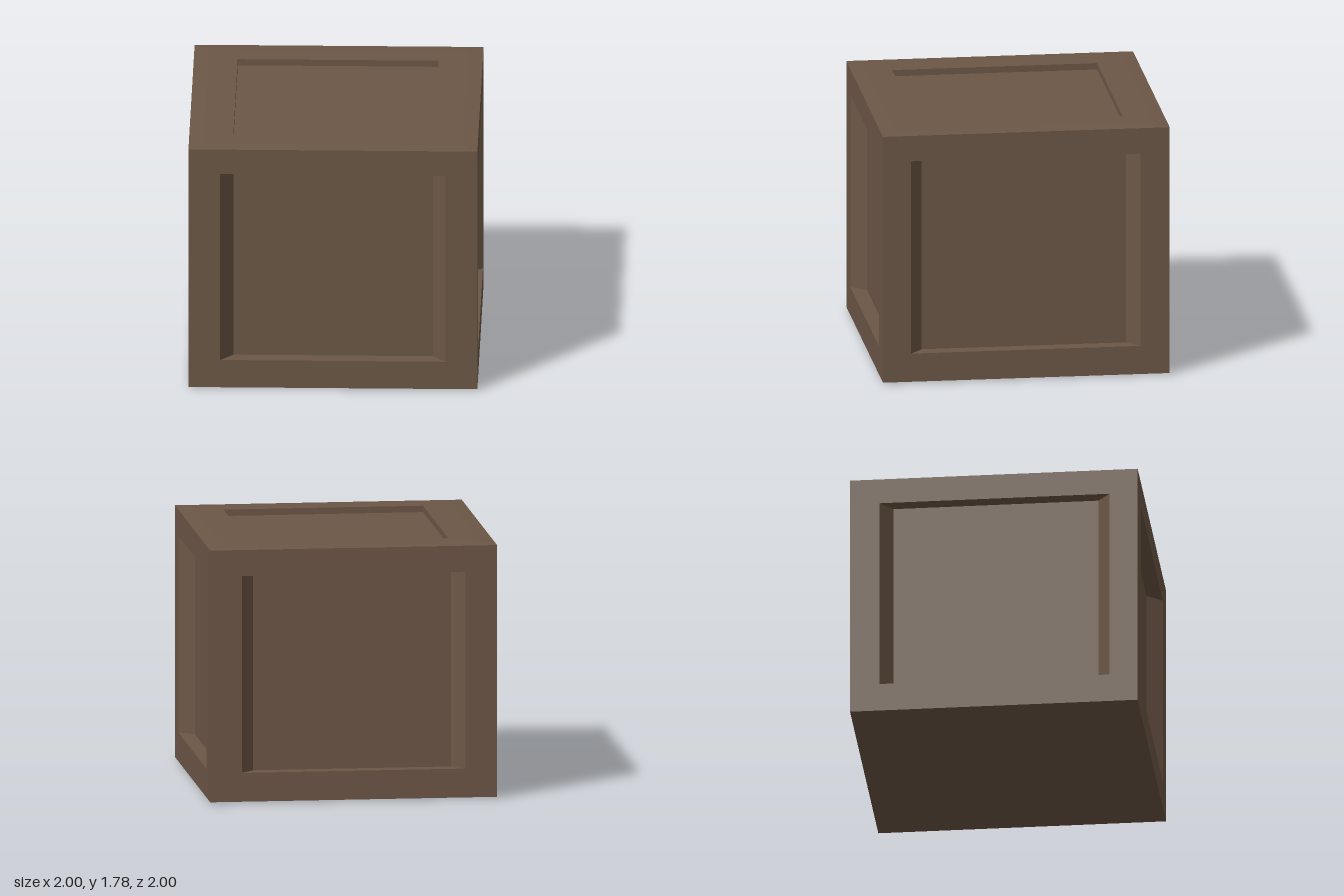
import * as THREE from 'three';

const H = 1.78;      // full height
const BULGE = 0.008; // slight crown of lid and base

// Rectangle ring, counter-clockwise seen from +z
function ring(halfW, y0, y1, z, cx = 0) {
  return [[cx - halfW, y0, z], [cx + halfW, y0, z], [cx + halfW, y1, z], [cx - halfW, y1, z]];
}

// Joins nested rings from the rim inwards and closes the last one
function loft(rings) {
  const pos = [];
  const quad = (a, b, c, d) => pos.push(...a, ...b, ...c, ...a, ...c, ...d);
  for (let r = 0; r < rings.length - 1; r++) {
    for (let i = 0; i < 4; i++) {
      const j = (i + 1) % 4;
      quad(rings[r][i], rings[r][j], rings[r + 1][j], rings[r + 1][i]);
    }
  }
  quad(...rings[rings.length - 1]);
  const geo = new THREE.BufferGeometry();
  geo.setAttribute('position', new THREE.Float32BufferAttribute(pos, 3));
  geo.computeVertexNormals();
  return geo;
}

export function createModel() {
  const crate = new THREE.Group();
  crate.name = 'crate';
  const wood = new THREE.MeshStandardMaterial({ color: 0x6c5746 });
  wood.name = 'brown wood';

  const add = (name, geo) => {
    const mesh = new THREE.Mesh(geo, wood);
    mesh.name = name;
    crate.add(mesh);
  };

  // Four walls, each a frame around a sunken panel with slanted side jambs
  const walls = [
    ['frontWall', 0, 0.78, 0.69, 0],
    ['rightWall', Math.PI / 2, 0.80, 0.712, -0.005],
    ['backWall', Math.PI, 0.78, 0.69, 0],
    ['leftWall', -Math.PI / 2, 0.80, 0.712, 0.005],
  ];
  for (const [name, angle, opening, panel, cx] of walls) {
    add(name, loft([
      ring(1, BULGE, H - BULGE, 1),
      ring(opening, 0.21, 1.59, 1, cx),
      ring(panel, 0.21, 1.59, 0.895, cx),
    ]).rotateY(angle));
  }

  // Lid with a shallow square recess
  add('lid', loft([
    ring(1, -1, 1, H - BULGE),
    ring(0.9, -0.9, 0.9, H),
    ring(0.695, -0.72, 0.71, H),
    ring(0.695, -0.72, 0.71, H - 0.045),
  ]).rotateX(-Math.PI / 2));

  // Plain base
  add('base', loft([
    ring(1, -1, 1, -BULGE),
    ring(0.9, -0.9, 0.9, 0),
  ]).rotateX(Math.PI / 2));

  return crate;
}
